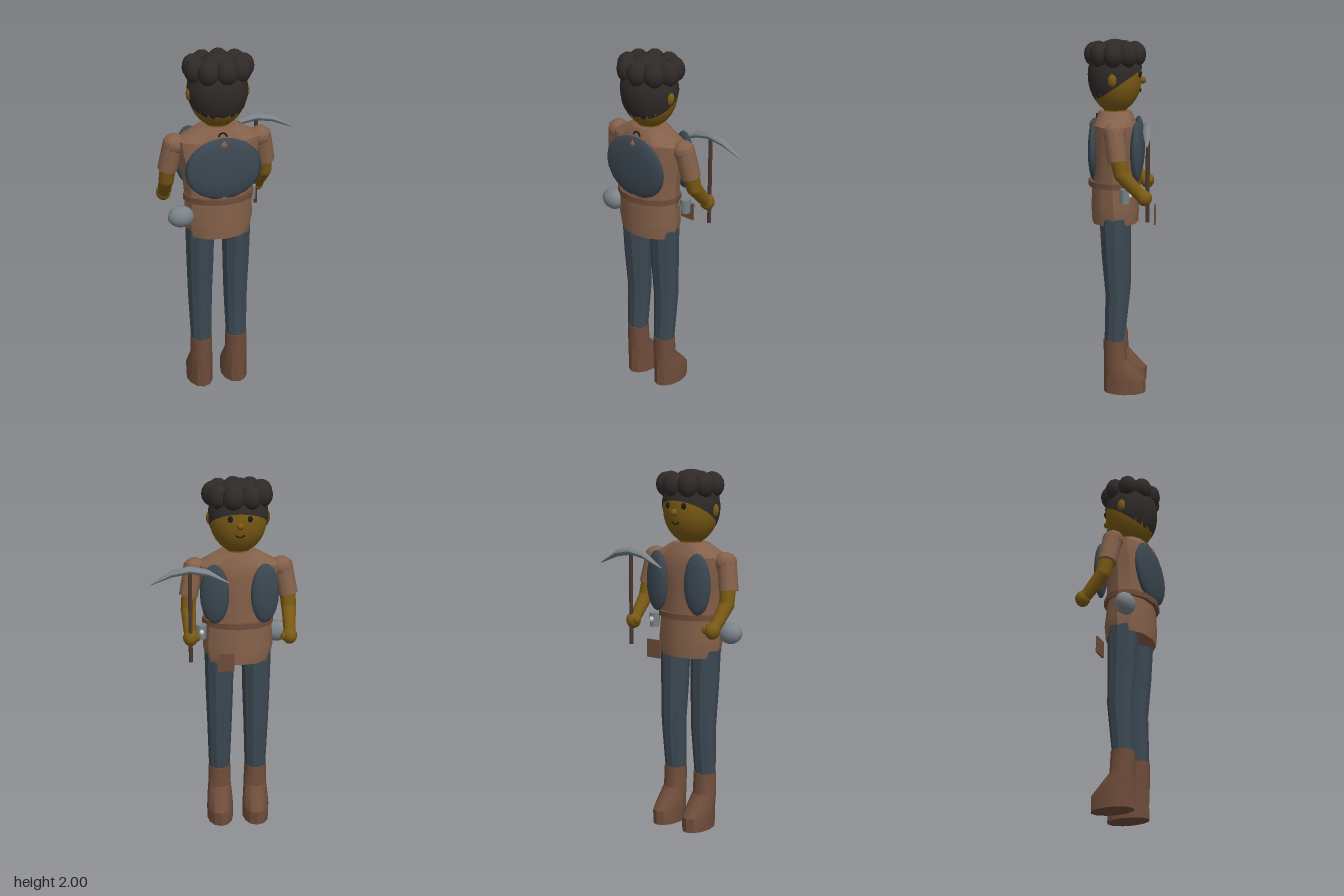
import * as THREE from 'three';
import { toCreasedNormals } from 'three/addons/utils/BufferGeometryUtils.js';

const mat = (color) => new THREE.MeshStandardMaterial({ color });
const skin = mat(0x7a5a14), hair = mat(0x2f2a28), shirt = mat(0x85614a), boot = mat(0x6e4c3a);
const cloth = mat(0x3c4852), metal = mat(0x7b8388), wood = mat(0x4a382e), dark = mat(0x1c1a1a), pale = mat(0xd8d4c0);

// Skin a stack of elliptical rings [x, y, z, rx, rz] along y, with closed ends
function loft(rings, sides, crease = 0.6) {
  const pos = [], idx = [];
  for (const [x, y, z, rx, rz] of rings)
    for (let i = 0; i < sides; i++) {
      const a = (i / sides) * Math.PI * 2;
      pos.push(x + rx * Math.cos(a), y, z + rz * Math.sin(a));
    }
  for (let r = 0; r < rings.length - 1; r++)
    for (let i = 0; i < sides; i++) {
      const a = r * sides + i, b = r * sides + (i + 1) % sides;
      idx.push(a, a + sides, b, b, a + sides, b + sides);
    }
  const top = (rings.length - 1) * sides;
  for (let i = 1; i < sides - 1; i++) {
    idx.push(0, i, i + 1);
    idx.push(top, top + i + 1, top + i);
  }
  const g = new THREE.BufferGeometry();
  g.setAttribute('position', new THREE.Float32BufferAttribute(pos, 3));
  g.setIndex(idx);
  return toCreasedNormals(g, crease);
}

export function createModel() {
  const model = new THREE.Group();
  const body = new THREE.Group();
  body.name = 'body';
  body.position.x = -0.076;
  model.add(body);

  const add = (parent, name, geometry, material, x = 0, y = 0, z = 0) => {
    const m = new THREE.Mesh(geometry, material);
    m.name = name;
    m.position.set(x, y, z);
    parent.add(m);
    return m;
  };
  const ball = (parent, name, material, p, r, w = 12, h = 8) => {
    const m = add(parent, name, new THREE.SphereGeometry(1, w, h), material, ...p);
    m.scale.set(...r);
    return m;
  };
  // Tapered limb between two points
  const limb = (name, material, a, b, ra, rb, sides = 10) => {
    const p = new THREE.Vector3(...a), q = new THREE.Vector3(...b);
    const d = q.clone().sub(p);
    const m = add(body, name, new THREE.CylinderGeometry(rb, ra, d.length(), sides), material);
    m.position.copy(p).addScaledVector(d, 0.5);
    m.quaternion.setFromUnitVectors(new THREE.Vector3(0, 1, 0), d.normalize());
    return m;
  };

  // Torso and belt
  add(body, 'shirt', loft([
    [0, 0.98, 0.03, 0.18, 0.13], [0, 1.06, 0.03, 0.196, 0.135], [0, 1.2, 0.035, 0.188, 0.125],
    [0, 1.36, 0.035, 0.205, 0.13], [0, 1.47, 0.03, 0.235, 0.13], [0, 1.535, 0.03, 0.242, 0.122],
    [0, 1.605, 0.03, 0.105, 0.09],
  ], 12), shirt);
  add(body, 'belt', loft([[0, 1.19, 0.035, 0.198, 0.147], [0, 1.222, 0.035, 0.198, 0.147]], 12), boot);

  // Head, hair cap and ring of curls
  add(body, 'neck', new THREE.CylinderGeometry(0.06, 0.065, 0.12, 10), skin, 0, 1.6, 0.03);
  ball(body, 'head', skin, [0, 1.79, 0.03], [0.158, 0.195, 0.147], 20, 14);
  const capGeo = new THREE.SphereGeometry(1, 20, 12, 0, Math.PI * 2, 0, 1.844);
  capGeo.rotateX(0.468);
  capGeo.scale(0.164, 0.2, 0.152);
  const capMat = hair.clone();
  capMat.side = THREE.DoubleSide;
  add(body, 'hairCap', capGeo, capMat, 0, 1.8, 0.03);
  for (let i = 0; i < 9; i++) {
    const a = (i / 9) * Math.PI * 2 + 0.05;
    ball(body, 'curl', hair, [0.004 + 0.136 * Math.cos(a), 1.918, 0.028 + 0.117 * Math.sin(a)], [0.06, 0.068, 0.056]);
  }

  // Face
  ball(body, 'nose', skin, [0, 1.775, -0.122], [0.02, 0.02, 0.02], 10, 7);
  const mouth = add(body, 'mouth', new THREE.TorusGeometry(0.028, 0.004, 5, 10, 2), dark, 0, 1.74, -0.11);
  mouth.rotation.z = -Math.PI / 2 - 1;
  for (const s of [-1, 1]) {
    ball(body, 'ear', skin, [s * 0.156, 1.785, 0.037], [0.018, 0.036, 0.025], 10, 7);
    ball(body, 'eye', dark, [s * 0.052, 1.81, -0.106], [0.015, 0.018, 0.012], 8, 6);
  }

  for (const s of [-1, 1]) {
    // Arm
    ball(body, 'shoulder', shirt, [s * 0.238, 1.51, 0.022], [0.064, 0.058, 0.06]);
    limb('sleeve', shirt, [s * 0.242, 1.53, 0.025], [s * 0.275, 1.36, 0.002], 0.055, 0.054);
    limb('upperArm', skin, [s * 0.268, 1.4, 0.005], [s * 0.277, 1.29, -0.02], 0.045, 0.042);
    ball(body, 'elbow', skin, [s * 0.277, 1.29, -0.02], [0.042, 0.042, 0.042]);
    limb('forearm', skin, [s * 0.277, 1.29, -0.02], [s * 0.272, 1.175, -0.125], 0.042, 0.033);
    ball(body, 'hand', skin, [s * 0.27, 1.165, -0.142], [0.042, 0.046, 0.042]);
    ball(body, 'thumb', skin, [s * 0.234, 1.17, -0.16], [0.016, 0.022, 0.018], 8, 6);

    // Leg and boot
    const x = s * 0.104;
    add(body, 'trouserLeg', loft([
      [x, 0.29, 0.03, 0.06, 0.058], [x, 0.58, 0.012, 0.07, 0.07],
      [x, 0.8, 0.022, 0.078, 0.08], [x, 1.02, 0.028, 0.083, 0.087],
    ], 10), cloth);
    add(body, 'boot', loft([
      [x, 0, -0.03, 0.075, 0.12], [x, 0.08, -0.03, 0.076, 0.12], [x, 0.14, -0.002, 0.072, 0.092],
      [x, 0.195, 0.024, 0.066, 0.066], [x, 0.312, 0.028, 0.064, 0.064],
    ], 12), boot);

    // Front vest panel
    const panel = ball(body, 'vestPanel', cloth, [s * 0.137, 1.395, -0.097], [0.08, 0.168, 0.034], 12, 10);
    panel.rotation.y = -s * 0.2;
  }

  // Back panel with hanging loop and tag
  ball(body, 'backPanel', cloth, [0, 1.39, 0.148], [0.212, 0.175, 0.032], 14, 10);
  add(body, 'backLoop', new THREE.TorusGeometry(0.022, 0.005, 5, 10, Math.PI), dark, 0, 1.565, 0.132);
  const tag = add(body, 'backTag', new THREE.OctahedronGeometry(1), shirt, 0, 1.527, 0.165);
  tag.scale.set(0.022, 0.028, 0.012);

  // Hip gear
  ball(model, 'hipPouch', metal, [-0.3, 1.112, 0.09], [0.074, 0.06, 0.055]);
  add(model, 'lantern', new THREE.CylinderGeometry(0.03, 0.027, 0.08, 8), metal, 0.13, 1.16, -0.033);
  ball(model, 'lanternBulb', pale, [0.13, 1.165, -0.062], [0.013, 0.016, 0.013], 8, 6);
  add(model, 'frontPocket', new THREE.BoxGeometry(0.09, 0.1, 0.01), boot, 0.005, 1.035, -0.196);

  // Pickaxe: handle and curved blade tapering to both ends
  const pick = new THREE.Group();
  pick.name = 'pickaxe';
  pick.position.set(0.195, 0, -0.16);
  model.add(pick);
  add(pick, 'handle', new THREE.CylinderGeometry(0.011, 0.011, 0.53, 8), wood, 0, 1.297, 0);
  const blade = loft([
    [-1.476, -0.21, 0, 0.004, 0.006], [-1.535, -0.095, 0, 0.02, 0.025], [-1.553, 0, 0, 0.022, 0.026],
    [-1.535, 0.095, 0, 0.02, 0.025], [-1.476, 0.21, 0, 0.004, 0.006],
  ], 8, 0.9);
  blade.rotateZ(-Math.PI / 2);
  add(pick, 'blade', blade, metal);

  return model;
}
